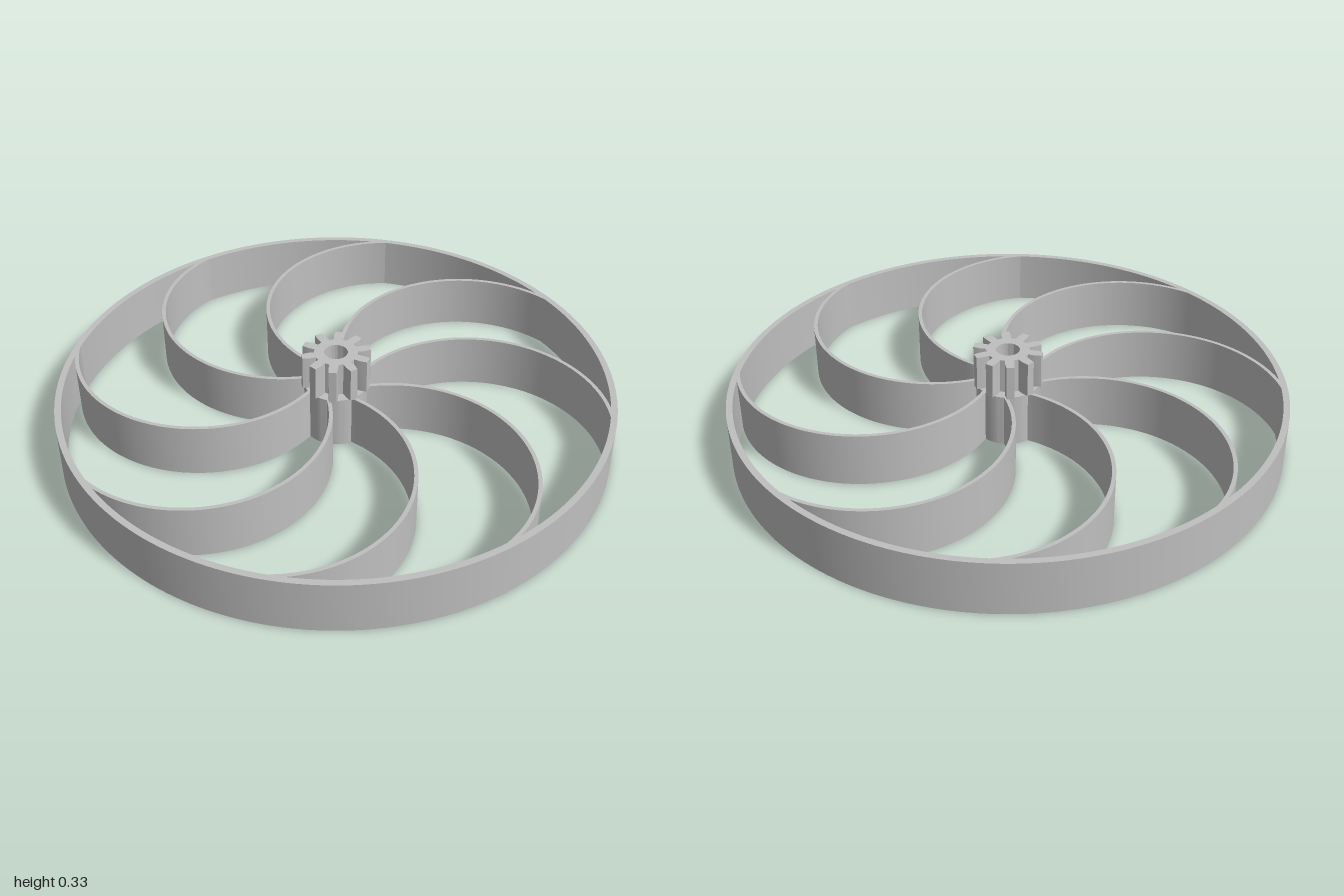
import * as THREE from 'three';
import { toCreasedNormals } from 'three/addons/utils/BufferGeometryUtils.js';

const RIM_HEIGHT = 0.2;
const GEAR_HEIGHT = 0.13;
const SPOKES = 8;
const TEETH = 10;
const BORE = 0.042;

// Ring outline with a round hole
function ring(outer, inner) {
  const shape = new THREE.Shape().absarc(0, 0, outer, 0, Math.PI * 2, false);
  shape.holes.push(new THREE.Path().absarc(0, 0, inner, 0, Math.PI * 2, true));
  return shape;
}

// Extrude a flat outline upwards, smooth on curves and sharp at edges
function upright(shape, height, curveSegments) {
  const geometry = new THREE.ExtrudeGeometry(shape, { depth: height, bevelEnabled: false, curveSegments });
  geometry.rotateX(-Math.PI / 2);
  return toCreasedNormals(geometry, Math.PI / 7);
}

// Curved blade: an arc band running from the hub to the rim
function spokeShape() {
  const cx = 0.53, radius = 0.475, half = 0.007;
  const start = THREE.MathUtils.degToRad(20), end = THREE.MathUtils.degToRad(171);
  const shape = new THREE.Shape();
  shape.absarc(cx, 0, radius + half, start, end, false);
  shape.absarc(cx, 0, radius - half, end, start, true);
  return shape;
}

// Pinion outline: tapered teeth around a root circle, with the bore cut out
function gearShape() {
  const profile = [[0.078, -0.2], [0.1, -0.17], [0.125, -0.11], [0.125, 0.11], [0.1, 0.17], [0.078, 0.2]];
  const points = [];
  for (let i = 0; i < TEETH; i++) {
    for (const [r, offset] of profile) {
      const a = (i / TEETH) * Math.PI * 2 + offset;
      points.push(new THREE.Vector2(r * Math.cos(a), r * Math.sin(a)));
    }
  }
  const shape = new THREE.Shape(points);
  shape.holes.push(new THREE.Path().absarc(0, 0, BORE, 0, Math.PI * 2, true));
  return shape;
}

export function createModel() {
  const group = new THREE.Group();
  group.name = 'spokedGearWheel';
  const grey = new THREE.MeshStandardMaterial({ color: 0xbfbfbf });
  grey.name = 'grey';

  const add = (name, geometry, y = 0) => {
    const mesh = new THREE.Mesh(geometry, grey);
    mesh.name = name;
    mesh.position.y = y;
    group.add(mesh);
    return mesh;
  };

  add('rim', upright(ring(1, 0.977), RIM_HEIGHT, 96));
  add('hub', upright(ring(0.115, BORE), RIM_HEIGHT, 40));
  add('gear', upright(gearShape(), GEAR_HEIGHT, 40), RIM_HEIGHT);

  // Swirl of identical blades
  const blade = upright(spokeShape(), RIM_HEIGHT, 40);
  for (let i = 0; i < SPOKES; i++) {
    add('spoke' + (i + 1), blade).rotation.y = (i / SPOKES) * Math.PI * 2;
  }
  return group;
}
